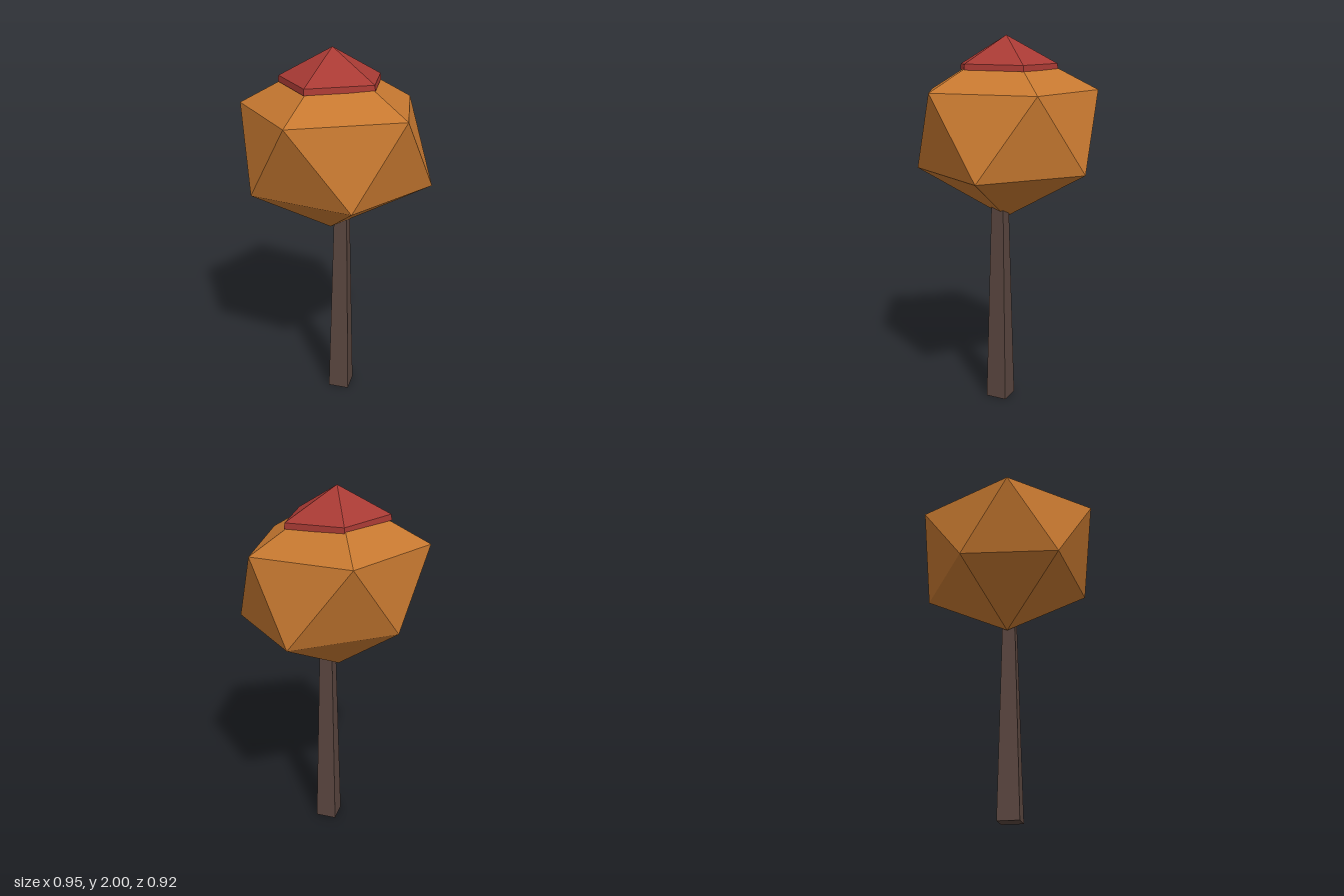
import * as THREE from 'three';

// Flat-shaded mesh from a list of corner triples
function facetMesh(name, triangles, material) {
  const geo = new THREE.BufferGeometry();
  geo.setAttribute('position', new THREE.Float32BufferAttribute(triangles.flat(2), 3));
  geo.computeVertexNormals();
  const mesh = new THREE.Mesh(geo, material);
  mesh.name = name;
  return mesh;
}

export function createModel() {
  const mat = (name, color) => new THREE.MeshStandardMaterial({ name, color, flatShading: true });
  const bark = mat('bark', 0x5a463f);
  const foliage = mat('amber foliage', 0xc67830);
  const red = mat('red cap', 0xa83a34);
  const group = new THREE.Group();
  group.name = 'tree';

  // Tapered four-sided trunk, running up into the crown
  const trunk = new THREE.Mesh(new THREE.CylinderGeometry(0.049, 0.083, 1.12, 4), bark);
  trunk.name = 'trunk';
  trunk.position.set(0.033, 0.56, 0.047);
  group.add(trunk);

  // Crown: an uneven icosahedron, two rings of five between two tips
  const upper = [[0.475, 1.7, 0.01], [0.16, 1.72, -0.46], [-0.395, 1.715, -0.26],
    [-0.425, 1.72, 0.3], [0.15, 1.71, 0.455]];
  const lower = [[0.415, 1.305, -0.275], [-0.14, 1.325, -0.39], [-0.475, 1.31, 0.01],
    [-0.155, 1.305, 0.455], [0.43, 1.29, 0.305]];
  const tip = [0, 1.97, 0], foot = [-0.01, 1.03, 0];
  const crown = [];
  for (let i = 0; i < 5; i++) {
    const j = (i + 1) % 5;
    crown.push([tip, upper[i], upper[j]], [upper[i], lower[i], upper[j]],
      [lower[i], lower[j], upper[j]], [foot, lower[j], lower[i]]);
  }
  group.add(facetMesh('crown', crown, foliage));

  // Cap: a thick five-sided shell following the top of the crown
  const rim = [[0.285, 1.812, 0.01], [0.095, 1.825, -0.255], [-0.235, 1.828, -0.14],
    [-0.257, 1.826, 0.18], [0.09, 1.82, 0.257]];
  const edge = rim.map(([x, y, z]) => [x * 0.985, y + 0.03, z * 0.985]);
  const peak = [0, 2, 0], inside = [0, 1.96, 0];
  const cap = [];
  for (let i = 0; i < 5; i++) {
    const j = (i + 1) % 5;
    cap.push([peak, edge[i], edge[j]], [rim[i], rim[j], edge[j]],
      [rim[i], edge[j], edge[i]], [inside, rim[j], rim[i]]);
  }
  group.add(facetMesh('cap', cap, red));

  return group;
}
